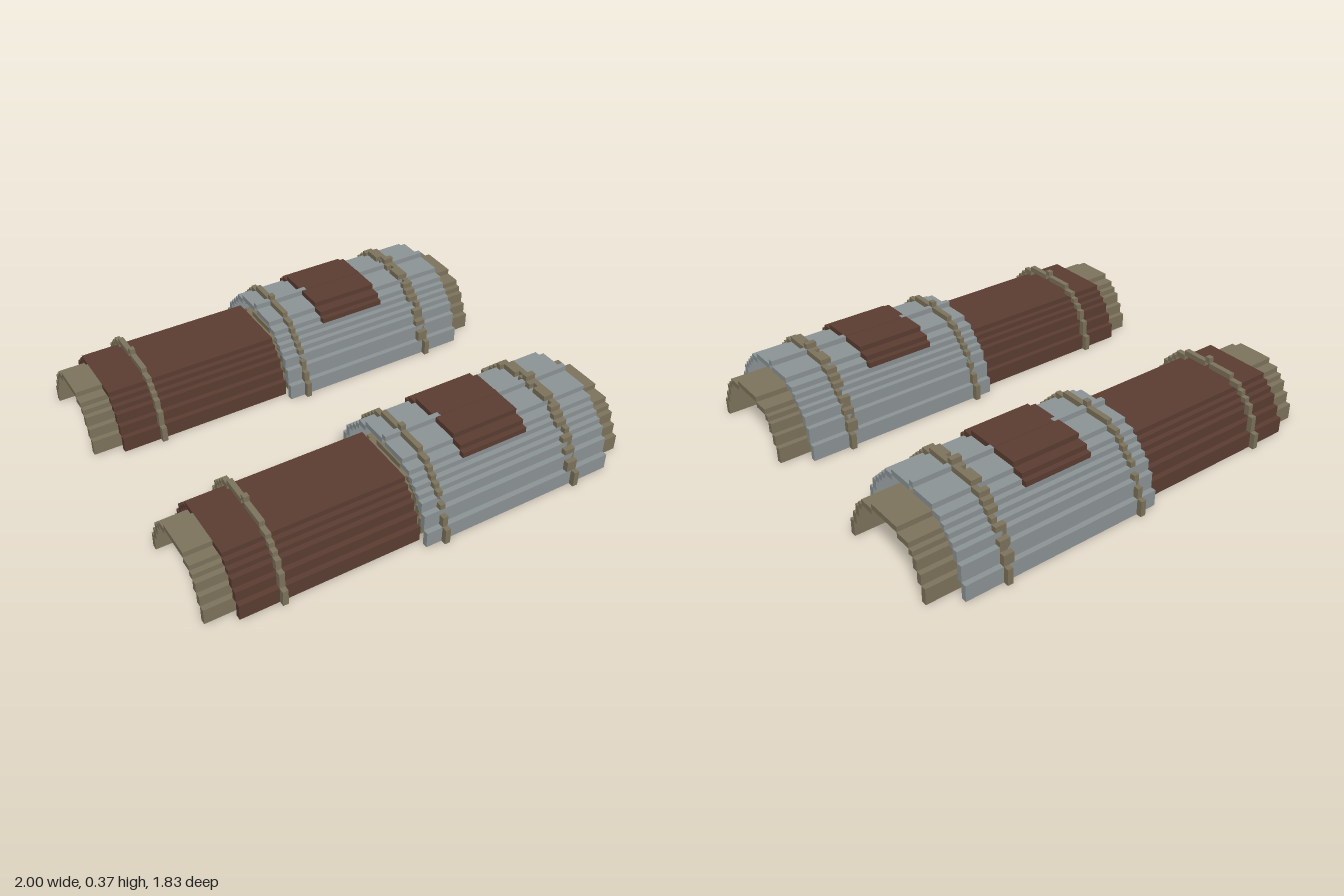
import * as THREE from 'three';
import { mergeGeometries } from 'three/addons/utils/BufferGeometryUtils.js';

const V = 2 / 81; // size of one block

// Block height of each column, counted outward from the crown of the arch
const PROFILE = {
  strap: [15, 14, 14, 14, 14, 14, 13, 13, 12, 11, 10, 9, 7, 5, 3],
  plate: [14, 14, 14, 14, 14, 14, 13, 13, 12],
  armor: [14, 13, 13, 13, 13, 13, 12, 12, 11, 10, 9, 8, 6, 3],
  cuffStrap: [13, 12, 12, 12, 12, 12, 11, 11, 10, 9, 8, 6, 3],
  leather: [10, 10, 10, 10, 10, 10, 10, 9, 8, 7, 5, 3],
  wideLining: [10, 10, 10, 10, 9, 9, 9, 8, 7, 5, 3],
  narrowLining: [10, 10, 10, 10, 9, 9, 8, 7, 5, 3],
};

// Stepped arch, one block thick, running along x from block x0 to block x1
function arch(heights, x0, x1, { open = false, keep = () => true } = {}) {
  const boxes = [];
  const n = heights.length - 1;
  for (let k = -n; k <= n; k++) {
    if (!keep(k)) continue;
    const a = Math.abs(k);
    const top = heights[a];
    const next = a < n ? heights[a + 1] : open ? top - 1 : 0;
    const bottom = Math.min(top - 1, next);
    const box = new THREE.BoxGeometry((x1 - x0) * V, (top - bottom) * V, V);
    box.translate(((x0 + x1) / 2) * V - 1, ((top + bottom) / 2) * V, k * V);
    boxes.push(box);
  }
  return mergeGeometries(boxes);
}

export function createModel() {
  const material = (name, color) => {
    const m = new THREE.MeshStandardMaterial({ color });
    m.name = name;
    return m;
  };
  const steel = material('steel gray', 0x8e9698);
  const brown = material('brown leather', 0x5c3e32);
  const tan = material('tan cloth', 0x7e755d);

  const P = PROFILE;
  const capped = P.narrowLining.map((h) => Math.min(h, 9));
  const parts = [
    // cloth lining, narrower towards the wrist
    ['wristLining', arch(P.narrowLining, 0, 5), tan],
    ['innerLining', arch(capped, 5, 39), tan],
    ['elbowLining', arch(P.wideLining, 39, 81), tan],
    // outer shells
    ['leatherSleeve', arch(P.leather, 5, 38), brown],
    ['armorShell', arch(P.armor, 38, 76), steel],
    ['topPlate', arch(P.plate, 48, 61, { open: true, keep: (k) => k !== 0 }), brown],
    // the shell's ridge shows at the ends of the plate, so cover only its middle
    ['plateRidge', new THREE.BoxGeometry(12 * V, 0.004, V).translate(55 * V - 1, 14 * V, 0), brown],
    // straps
    ['wristStrap', arch(P.cuffStrap, 12, 13), tan],
    ['middleStrap', arch(P.strap, 41, 42), tan],
    ['elbowStrap', arch(P.strap, 68, 69), tan],
    ['elbowStrapWeave', arch(P.strap, 67, 68, { keep: (k) => Math.abs(k) % 4 !== 2 }), tan],
  ];

  const model = new THREE.Group();
  model.name = 'armGuards';
  for (const [name, z] of [['frontGuard', 0.555], ['backGuard', -0.555]]) {
    const guard = new THREE.Group();
    guard.name = name;
    guard.position.z = z;
    for (const [part, geometry, mat] of parts) {
      const mesh = new THREE.Mesh(geometry, mat);
      mesh.name = part;
      guard.add(mesh);
    }
    model.add(guard);
  }
  return model;
}
